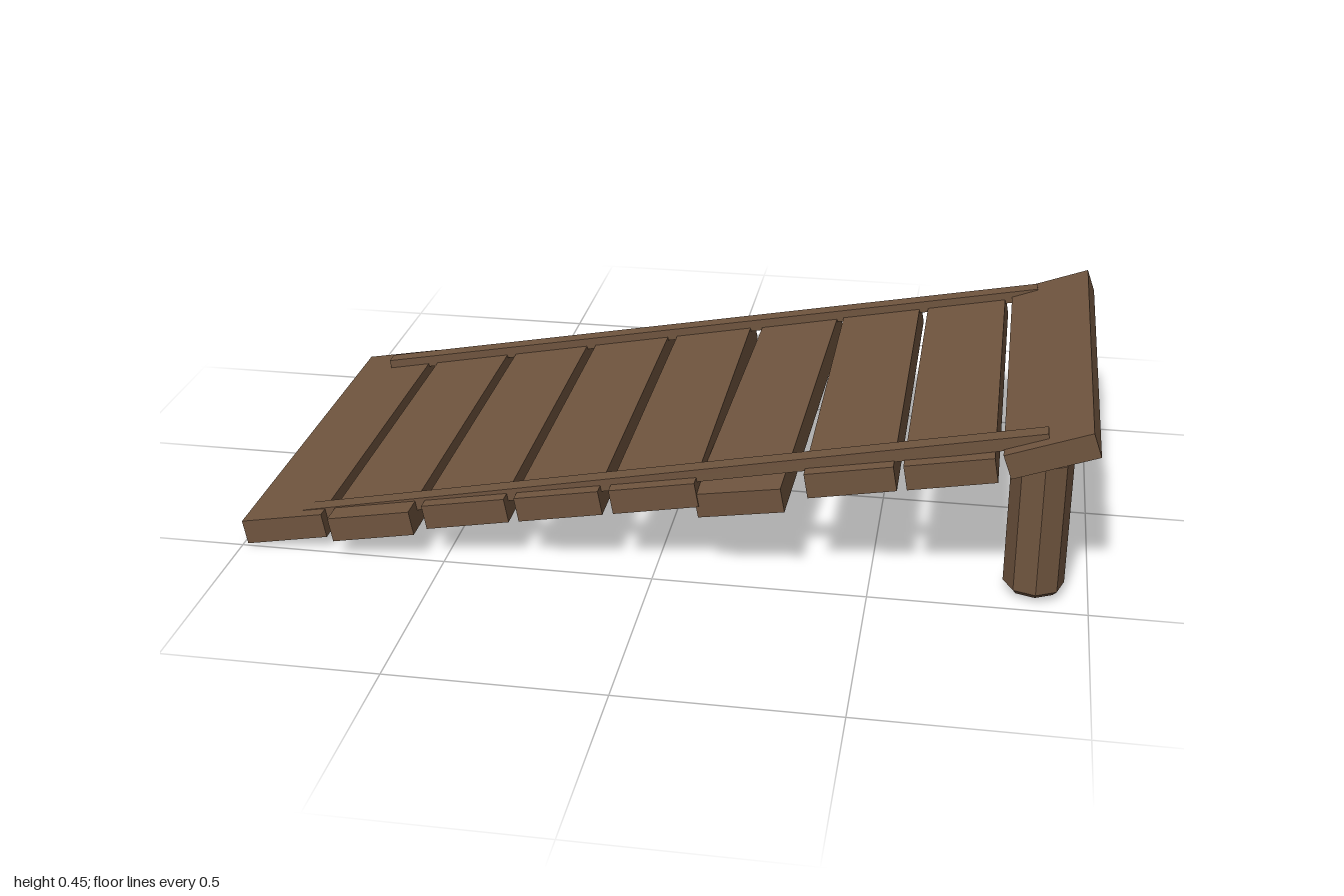
import * as THREE from 'three';

export function createModel() {
  const model = new THREE.Group();
  const wood = new THREE.MeshStandardMaterial({ color: 0x70553f, flatShading: true });
  wood.name = 'brown wood';

  const add = (name, geometry, x, y, z) => {
    const mesh = new THREE.Mesh(geometry, wood);
    mesh.name = name;
    mesh.position.set(x, y, z);
    model.add(mesh);
    return mesh;
  };

  // Deck planks climbing the ramp; one has slid sideways
  const slope = 0.175;
  const plankGeometry = new THREE.BoxGeometry(0.203, 0.06, 1.01);
  const deckY = (x) => 0.17 + 0.176 * (x + 0.22);
  [-0.895, -0.67, -0.446, -0.222, 0.003, 0.452, 0.674].forEach((x, i) => {
    add('plank', plankGeometry, x, deckY(x), i === 1 ? 0.012 : -0.014).rotation.z = slope;
  });

  // Loose plank, twisted and sagging at the front
  add('loosePlank', plankGeometry, 0.219, 0.232, -0.015).rotation.set(0.036, -0.036, slope);

  // Steeper top plank
  add('topPlank', plankGeometry, 0.892, 0.389, -0.014).rotation.z = 0.345;

  // Thin rails lying along both edges of the deck
  const addRail = (name, from, to) => {
    const a = new THREE.Vector3(...from);
    const b = new THREE.Vector3(...to);
    const d = b.clone().sub(a);
    const c = a.add(b).multiplyScalar(0.5);
    const rail = add(name, new THREE.BoxGeometry(d.length(), 0.03, 0.04), c.x, c.y, c.z);
    rail.rotation.order = 'YZX';
    rail.rotation.y = -Math.atan2(d.z, d.x);
    rail.rotation.z = Math.atan2(d.y, Math.hypot(d.x, d.z));
  };
  addRail('frontRail', [-0.853, 0.075, 0.44], [0.884, 0.414, 0.44]);
  addRail('backRail', [-0.91, 0.086, -0.437], [0.853, 0.394, -0.489]);

  // Eight-sided posts with bevelled ends
  const profile = [[0, 0], [0.059, 0], [0.07, 0.012], [0.07, 0.33], [0.059, 0.342], [0, 0.342]];
  const postGeometry = new THREE.LatheGeometry(profile.map((p) => new THREE.Vector2(...p)), 8);
  for (const z of [0.407, -0.446]) {
    add('post', postGeometry, 0.875, 0.018, z).rotation.y = 0.08;
  }

  return model;
}
